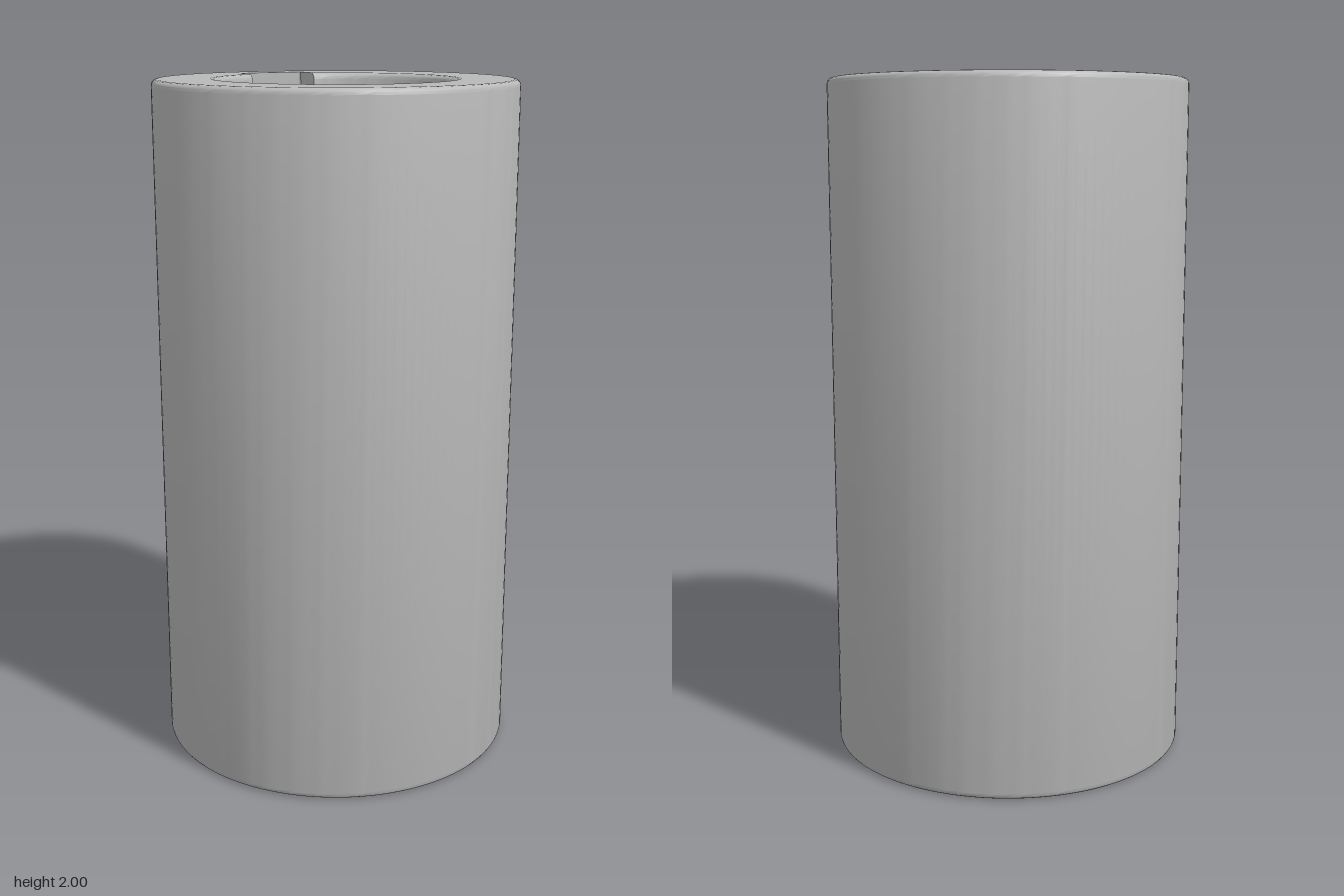
import * as THREE from 'three';
import { toCreasedNormals } from 'three/addons/utils/BufferGeometryUtils.js';

const SEG = 120, STEP_Y = 1, HEIGHT = 2, FILLET = 0.018;

// Counter-clockwise cross-section: a circle, optionally with a keyway { w: half width, f: floor, c: corner radius }
function section(r, key) {
  const pts = [];
  const gap = key ? Math.asin(key.w / r) : 0;
  const sweep = Math.PI * 2 - gap * 2;
  const count = key ? SEG + 1 : SEG;
  for (let i = 0; i < count; i++) {
    const a = Math.PI / 2 + gap + (sweep * i) / SEG;
    pts.push(new THREE.Vector2(Math.cos(a) * r, Math.sin(a) * r));
  }
  if (key) {
    for (const start of [0, Math.PI / 2]) {
      for (let i = 0; i <= 3; i++) {
        const a = start + (i / 3) * Math.PI / 2;
        const cx = (start === 0 ? 1 : -1) * (key.w - key.c);
        pts.push(new THREE.Vector2(cx + Math.cos(a) * key.c, key.f - key.c + Math.sin(a) * key.c));
      }
    }
  }
  return pts;
}

// Skin through levels [radius, y]; rising levels face outward, falling ones inward
function wall(levels, key) {
  const pos = [], index = [];
  const loops = levels.map(([r]) => section(r, key));
  const n = loops[0].length;
  loops.forEach((loop, k) => loop.forEach(p => pos.push(p.x, levels[k][1], -p.y)));
  for (let k = 0; k < loops.length - 1; k++) {
    for (let i = 0; i < n; i++) {
      const j = (i + 1) % n, a = k * n, b = a + n;
      index.push(a + i, a + j, b + j, a + i, b + j, b + i);
    }
  }
  const g = new THREE.BufferGeometry();
  g.setAttribute('position', new THREE.Float32BufferAttribute(pos, 3));
  g.setIndex(index);
  return toCreasedNormals(g, 0.5);
}

// Flat ring between two cross-sections
function ring(outer, inner, y, down) {
  const shape = new THREE.Shape(outer);
  shape.holes.push(new THREE.Path(inner));
  const g = new THREE.ShapeGeometry(shape).rotateX(-Math.PI / 2).translate(0, y, 0);
  if (down) g.index.array.reverse();
  return toCreasedNormals(g, 0.5);
}

// Quarter-round edge, t running from the wall (0) to the flat end (1)
function edge(r, side, yEnd, dir) {
  return Array.from({ length: 5 }, (_, i) => {
    const a = (i / 4) * Math.PI / 2;
    return [r + side * FILLET * (1 - Math.cos(a)), yEnd - dir * FILLET * (1 - Math.sin(a))];
  });
}

export function createModel() {
  const group = new THREE.Group();
  const steel = new THREE.MeshStandardMaterial({ color: 0xb8b8b8 });
  steel.name = 'steel grey';
  const add = (name, geometry) => {
    const mesh = new THREE.Mesh(geometry, steel);
    mesh.name = name;
    group.add(mesh);
  };

  const outerR = 0.525, upperR = 0.338, mouthR = 0.257, throatR = 0.218;
  const wideKey = { w: 0.105, f: 0.41, c: 0.01 };
  const narrowKey = { w: 0.052, f: 0.335, c: 0.006 };

  // Sleeve body with rounded ends
  add('outerWall', wall([
    ...edge(outerR, -1, 0, -1).reverse(),
    ...edge(outerR, -1, HEIGHT, 1),
  ]));

  // Straight upper bore and tapered lower bore, each with its keyway
  add('upperBore', wall([...edge(upperR, 1, HEIGHT, 1).reverse(), [upperR, STEP_Y]], wideKey));
  add('lowerBore', wall([[throatR, STEP_Y], ...edge(mouthR, 1, 0, -1)], narrowKey));

  // End faces and the step between the bores
  add('topFace', ring(section(outerR - FILLET), section(upperR + FILLET, wideKey), HEIGHT));
  add('boreStep', ring(section(upperR, wideKey), section(throatR, narrowKey), STEP_Y));
  add('bottomFace', ring(section(outerR - FILLET), section(mouthR + FILLET, narrowKey), 0, true));

  return group;
}
